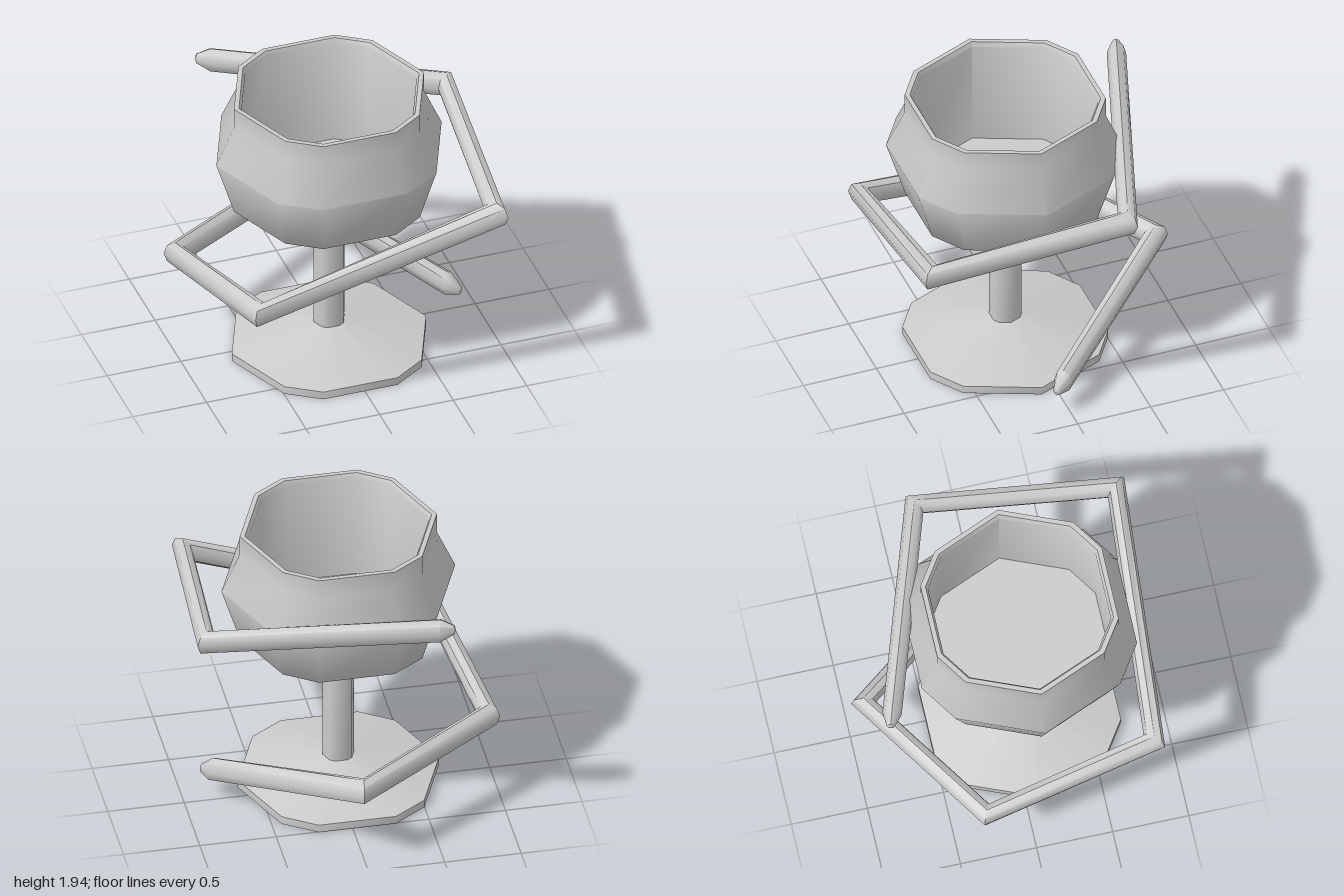
import * as THREE from 'three';
import { toCreasedNormals } from 'three/addons/utils/BufferGeometryUtils.js';

const material = new THREE.MeshStandardMaterial({ color: 0xcccccc, side: THREE.DoubleSide });
const CREASE = 0.87;

// Skin a list of closed rings (each an array of Vector3)
function loft(rings, name) {
  const n = rings[0].length;
  const index = [];
  for (let i = 0; i < rings.length - 1; i++) {
    for (let j = 0; j < n; j++) {
      const k = (j + 1) % n;
      const a = i * n + j, b = i * n + k, c = b + n, d = a + n;
      index.push(a, d, b, b, d, c);
    }
  }
  const geometry = new THREE.BufferGeometry().setFromPoints(rings.flat());
  geometry.setIndex(index);
  const mesh = new THREE.Mesh(toCreasedNormals(geometry, CREASE), material);
  mesh.name = name;
  return mesh;
}

// Ten uneven sides shared by cup, stem and foot
const ANGLES = [0, 45, 67.5, 112.5, 135, 180, 225, 247.5, 292.5, 315].map(THREE.MathUtils.degToRad);

function turned(profile, name) {
  return loft(profile.map(([r, y]) =>
    ANGLES.map(a => new THREE.Vector3(r * Math.cos(a), y, r * Math.sin(a)))), name);
}

// Angular band with a tall oval section, mitred at each corner
function mitredBand(points, halfWidth, halfHeight, name) {
  const p = points.map(c => new THREE.Vector3(...c));
  const last = p.length - 1;
  const up = new THREE.Vector3(0, 1, 0);
  const dir = i => p[i + 1].clone().sub(p[i]).setY(0).normalize();
  const section = (centre, side, s) => Array.from({ length: 8 }, (_, j) => {
    const a = j * Math.PI / 4;
    return centre.clone()
      .addScaledVector(side, Math.cos(a) * halfWidth * s)
      .addScaledVector(up, Math.sin(a) * halfHeight * s);
  });
  const rings = [];
  p.forEach((centre, i) => {
    const before = dir(Math.max(i - 1, 0));
    const after = dir(Math.min(i, last - 1));
    const along = before.clone().add(after).normalize();
    const side = along.clone().cross(up).divideScalar(along.dot(after));
    if (i > 0 && i < last) {
      rings.push(section(centre, side, 1));
      return;
    }
    // Blunt pointed ends
    const inward = p[i === 0 ? 1 : last - 1].clone().sub(centre).normalize();
    const tip = [[0, 0.001], [0.01, 0.4], [0.1, 1]].map(([d, s]) =>
      section(centre.clone().addScaledVector(inward, d), side, s));
    rings.push(...(i === 0 ? tip : tip.reverse()));
  });
  return loft(rings, name);
}

export function createModel() {
  const model = new THREE.Group();
  model.name = 'gobletWithBand';

  const goblet = new THREE.Group();
  goblet.name = 'goblet';
  goblet.position.set(-0.03, 0, 0.105);
  goblet.add(
    // Outer bowl, rim, then inner wall and floor
    turned([[0.1, 0.86], [0.645, 1.15], [0.765, 1.53], [0.645, 1.8], [0.645, 1.94],
      [0.612, 1.94], [0.595, 1.91], [0.595, 1.17], [0.001, 1.17]], 'cup'),
    turned([[0.104, 0.17], [0.104, 0.87]], 'stem'),
    // Hollow foot, closed under the stem
    turned([[0.001, 0.165], [0.1, 0.165], [0.65, 0.045], [0.65, 0], [0.66, 0],
      [0.66, 0.055], [0.104, 0.18]], 'foot'),
  );
  model.add(goblet);

  // Band spiralling up around the goblet
  model.add(mitredBand([
    [0.87, 0.19, 0.1], [0.01, 0.56, -0.91], [-0.93, 0.62, -0.31], [-0.75, 0.83, 0.83],
    [0.82, 1.32, 0.93], [0.93, 1.48, -0.37], [-0.6, 1.7, -0.87],
  ], 0.062, 0.085, 'spiralBand'));

  return model;
}
